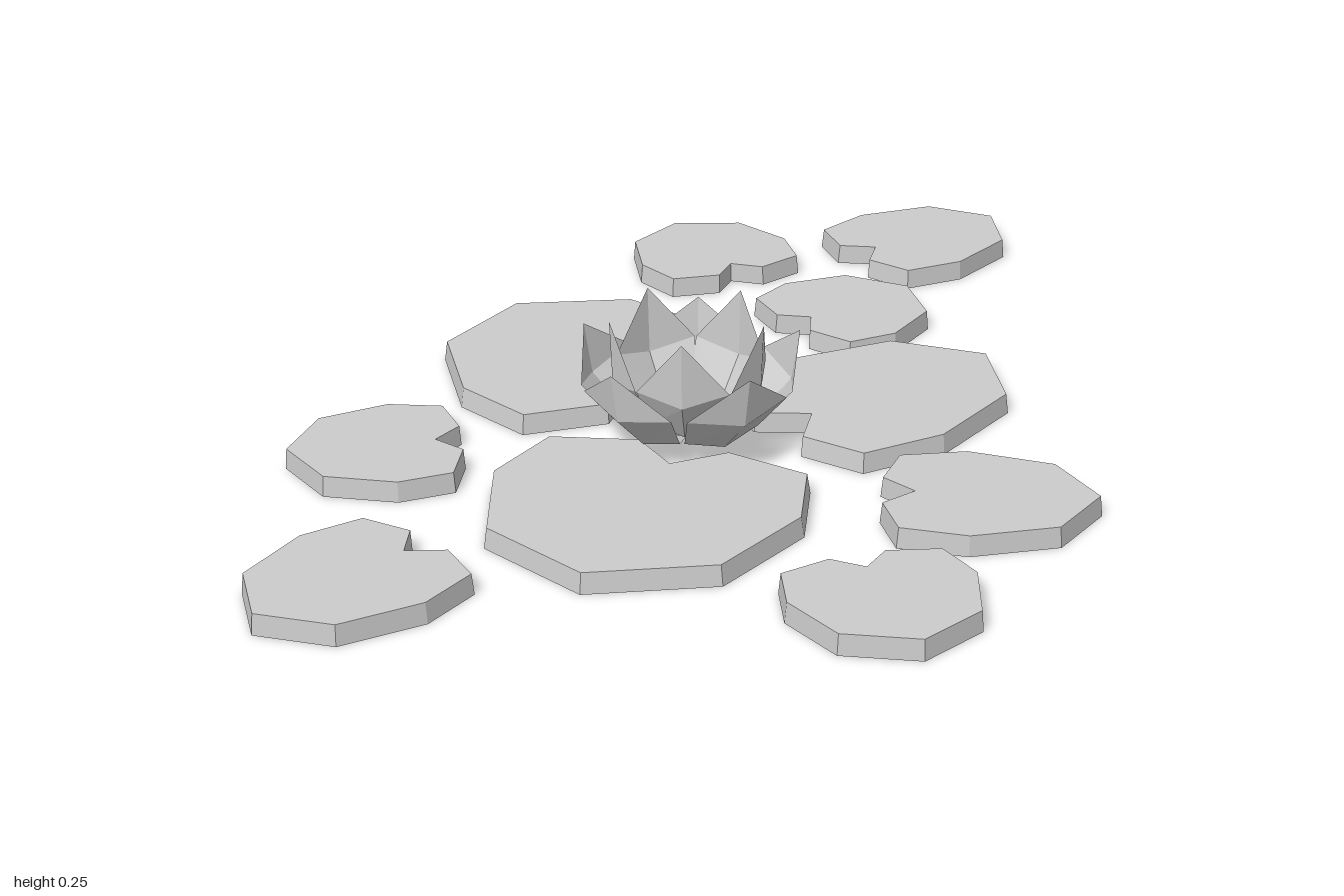
import * as THREE from 'three';

const PAD_HEIGHT = 0.037;
const material = new THREE.MeshStandardMaterial({
  color: 0xcccccc, flatShading: true, side: THREE.DoubleSide,
});

// Half outline of a notched leaf: [distance along notch-to-tip axis, share of half width]
const HALF_PAD = [[-0.175, 0.3], [-0.085, 0.86], [0.29, 1], [0.77, 0.74]];

// Leaf slab from its notch point, tip point (x, z) and half width
function makePad(name, [nx, nz], [tx, tz], halfWidth) {
  const length = Math.hypot(tx - nx, tz - nz);
  const outline = [
    [0, 0], ...HALF_PAD, [1, 0],
    ...HALF_PAD.map(([a, b]) => [a, -b]).reverse(),
  ].map(([a, b]) => new THREE.Vector2((a - 0.4) * length, b * halfWidth));

  const geometry = new THREE.ExtrudeGeometry(new THREE.Shape(outline), {
    depth: PAD_HEIGHT, bevelEnabled: false,
  });
  geometry.rotateX(Math.PI / 2).translate(0, PAD_HEIGHT, 0);

  // The top face is slightly smaller than the underside
  const p = geometry.attributes.position;
  for (let i = 0; i < p.count; i++) {
    if (p.getY(i) > PAD_HEIGHT / 2) p.setXYZ(i, p.getX(i) * 0.98, p.getY(i), p.getZ(i) * 0.98);
  }
  geometry.computeVertexNormals();

  const pad = new THREE.Mesh(geometry, material);
  pad.name = name;
  pad.position.set(nx + (tx - nx) * 0.4, 0, nz + (tz - nz) * 0.4);
  pad.rotation.y = -Math.atan2(tz - nz, tx - nx);
  return pad;
}

// Cupped petal facing +z; each row is [centre radius, height, half width, edge radius, edge height]
function petalGeometry(rows) {
  const positions = [];
  const index = [];
  rows.forEach(([r, y, w, er, ey], i) => {
    positions.push(-w, ey, er, 0, y, r, w, ey, er);
    if (i === 0) return;
    for (let j = 0; j < 2; j++) {
      const a = (i - 1) * 3 + j;
      const b = a + 3;
      index.push(a, a + 1, b + 1, a, b + 1, b);
    }
  });
  const geometry = new THREE.BufferGeometry();
  geometry.setAttribute('position', new THREE.Float32BufferAttribute(positions, 3));
  geometry.setIndex(index);
  geometry.computeVertexNormals();
  return geometry;
}

// Five petals evenly turned about the flower's axis
function petalRing(name, rows, startAngle) {
  const ring = new THREE.Group();
  ring.name = name;
  const geometry = petalGeometry(rows);
  for (let i = 0; i < 5; i++) {
    const petal = new THREE.Mesh(geometry, material);
    petal.name = 'petal';
    petal.rotation.y = startAngle + (i * Math.PI * 2) / 5;
    ring.add(petal);
  }
  return ring;
}

export function createModel() {
  const model = new THREE.Group();
  model.name = 'waterLily';

  // Three large leaves around the flower
  model.add(
    makePad('largePad', [-0.067, -0.217], [-0.067, -0.65], 0.273),
    makePad('largePad', [0.136, 0.078], [0.564, 0.024], 0.214),
    makePad('largePad', [-0.176, 0.119], [-0.505, 0.393], 0.278),
  );

  // Small scattered leaves: notch, tip
  const smallPads = [
    [[0.393, -0.602], [0.414, -0.858]],
    [[0.687, -0.527], [0.997, -0.548]],
    [[0.377, -0.291], [0.628, -0.324]],
    [[-0.473, -0.174], [-0.714, -0.275]],
    [[-0.703, 0.174], [-1.0, 0.243]],
    [[0.115, 0.425], [0.372, 0.607]],
    [[-0.104, 0.607], [-0.163, 0.853]],
  ];
  for (const [notch, tip] of smallPads) model.add(makePad('smallPad', notch, tip, 0.163));

  // Flower: low outer petals and taller inner petals set between them
  const flower = new THREE.Group();
  flower.name = 'flower';
  flower.position.set(-0.067, 0, 0);
  flower.add(
    petalRing('outerPetals', [
      [0.03, 0.025, 0.02, 0.03, 0.028],
      [0.12, 0.04, 0.075, 0.11, 0.06],
      [0.185, 0.105, 0.1, 0.16, 0.125],
      [0.2, 0.195, 0, 0.2, 0.195],
    ], 0),
    petalRing('innerPetals', [
      [0.01, 0.03, 0.012, 0.01, 0.032],
      [0.085, 0.05, 0.06, 0.075, 0.068],
      [0.135, 0.125, 0.08, 0.112, 0.145],
      [0.14, 0.245, 0, 0.14, 0.245],
    ], Math.PI),
  );
  model.add(flower);
  return model;
}
